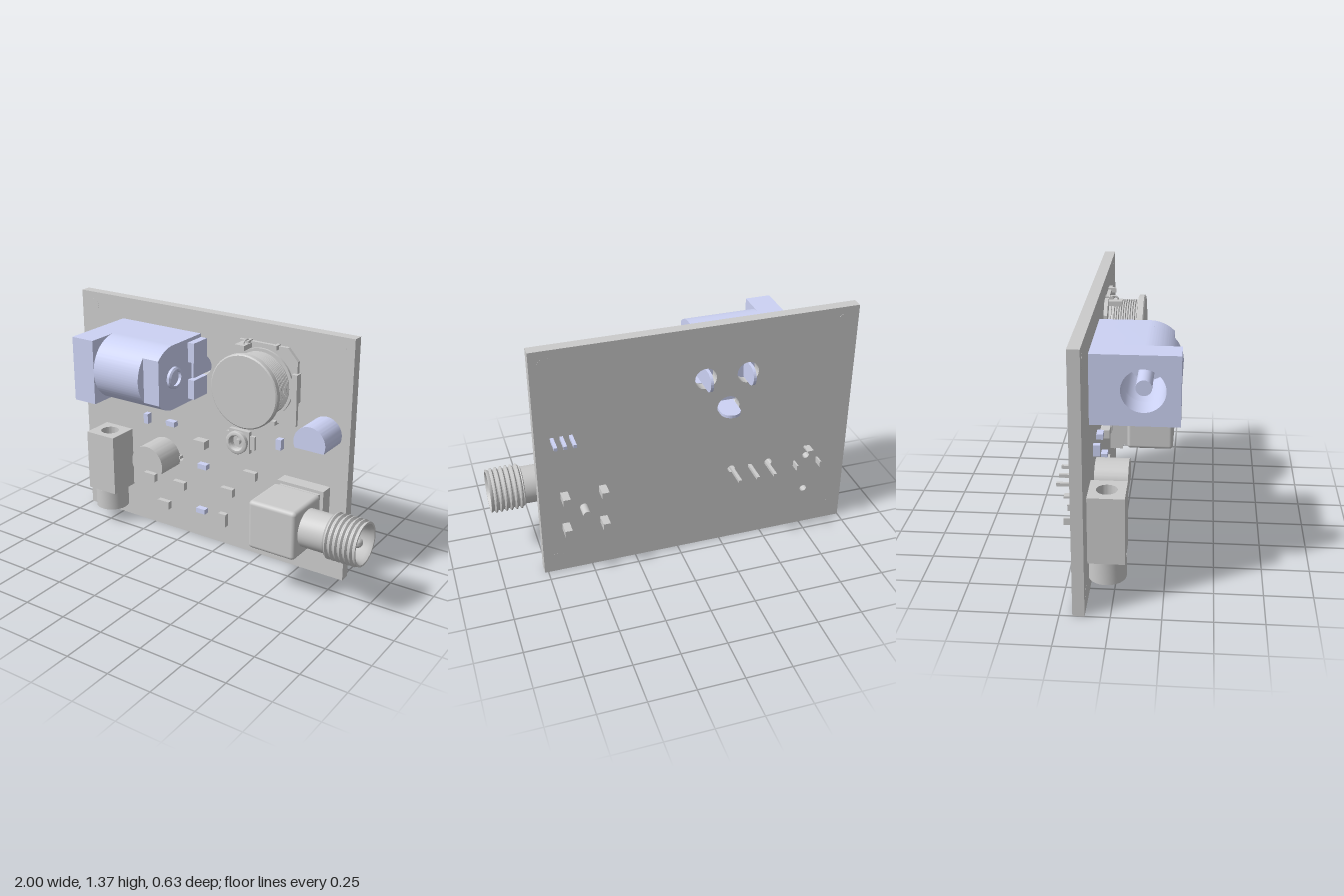
import * as THREE from 'three';
import { toCreasedNormals } from 'three/addons/utils/BufferGeometryUtils.js';
import { RoundedBoxGeometry } from 'three/addons/geometries/RoundedBoxGeometry.js';

const grey = new THREE.MeshStandardMaterial({ color: 0xcccccc });
const blue = new THREE.MeshStandardMaterial({ color: 0xccd2f4 });
const FRONT = -0.125, BACK = -0.185; // board faces
const V = (x, y) => new THREE.Vector2(x, y);

export function createModel() {
  const root = new THREE.Group();
  let parent = root;
  const group = (name) => {
    parent = new THREE.Group();
    parent.name = name;
    root.add(parent);
  };
  const add = (name, geo, mat = grey) => {
    const m = new THREE.Mesh(geo, mat);
    m.name = name;
    parent.add(m);
    return m;
  };
  // box given by its limits
  const box = (name, x0, x1, y0, y1, z0, z1, mat) =>
    add(name, new THREE.BoxGeometry(x1 - x0, y1 - y0, z1 - z0), mat)
      .position.set((x0 + x1) / 2, (y0 + y1) / 2, (z0 + z1) / 2);
  const turn = (geo, axis) => {
    if (axis === 'x') geo.rotateZ(-Math.PI / 2);
    if (axis === 'z') geo.rotateX(Math.PI / 2);
    return geo;
  };
  const lathe = (name, pts, axis, x, y, z, mat) =>
    add(name, toCreasedNormals(turn(new THREE.LatheGeometry(pts.map(p => V(...p)), 40), axis), 0.6), mat)
      .position.set(x, y, z);
  const cyl = (name, r, len, axis, x, y, z, mat) =>
    add(name, turn(new THREE.CylinderGeometry(r, r, len, 28), axis), mat).position.set(x, y, z);
  const extrude = (shape, depth) => toCreasedNormals(
    new THREE.ExtrudeGeometry(shape, { depth, bevelEnabled: false, curveSegments: 24 }), 0.5);
  const hole = (shape, x, y, r) => {
    shape.holes.push(new THREE.Path().absarc(x, y, r, 0, Math.PI * 2, true));
    return shape;
  };
  const rect = (x0, x1, y0, y1) => new THREE.Shape([V(x0, y0), V(x1, y0), V(x1, y1), V(x0, y1)]);

  // Circuit board with solder holes and plugged corner holes
  group('circuitBoard');
  const board = rect(-1, 0.77, 0, 1.37);
  [[-0.15, 1.07, 0.06], [-0.385, 1.07, 0.06], [-0.28, 0.88, 0.062], [-0.53, 0.47, 0.022], [-0.31, 0.47, 0.022],
    [-0.76, 0.24, 0.02], [-0.76, 0.47, 0.02]].forEach(h => hole(board, ...h));
  add('board', extrude(board, FRONT - BACK)).position.z = BACK;
  for (const x of [-0.92, 0.69]) for (const y of [0.08, 1.29])
    cyl('cornerHolePlug', 0.04, 0.061, 'z', x, y, (FRONT + BACK) / 2);

  // Power jack lying along x; its profile uses u = -z
  group('powerJack');
  const cy = 1.065, cu = -0.135, R = 0.18;
  const alongX = (name, shape, x0, x1) => {
    const g = extrude(shape, x1 - x0);
    g.rotateY(Math.PI / 2);
    add(name, g, blue).position.x = x0;
  };
  const barrel = (cut) => {
    const s = new THREE.Shape();
    s.moveTo(0.125, cy - R);
    s.lineTo(0.125, cy + R);
    s.lineTo(cu, cy + R);
    s.absarc(cu, cy, R, Math.PI / 2, cut, false);
    s.absarc(cu, cy, R, Math.PI * 2 - cut, Math.PI * 1.5, false);
    return s;
  };
  alongX('jackFlange', hole(rect(-0.315, 0.125, cy - R, cy + R), cu, cy, 0.11), -0.7, -0.56);
  alongX('jackBarrel', hole(barrel(Math.PI - 0.001), cu, cy, 0.11), -0.56, -0.26);
  alongX('jackRear', barrel(Math.acos(-0.13 / R)), -0.26, -0.16);
  cyl('jackPin', 0.04, 0.4, 'x', -0.46, cy, 0.135, blue);
  lathe('jackRivet', [[0.06, 0], [0.06, 0.015], [0.05, 0.022], [0.042, 0.022], [0.042, 0.004], [0, 0.004]],
    'x', -0.16, cy, 0.135, blue);
  for (const s of [-1, 1])
    box('jackRearBlock', -0.16, -0.12, cy + s * 0.105 - 0.055, cy + s * 0.105 + 0.055, FRONT, 0, blue);
  const tab = new THREE.Shape();
  tab.moveTo(0.055, 0);
  tab.lineTo(0.055, 0.18);
  tab.absarc(0, 0.18, 0.055, 0, Math.PI, false);
  tab.lineTo(-0.055, 0);
  const tabGeo = extrude(tab, 0.016);
  tabGeo.translate(0, 0, -0.008);
  tabGeo.rotateX(-Math.PI / 2); // rounded end points to -z
  for (const [x, y, roll] of [[-0.155, 1.07, 1], [-0.39, 1.07, 1], [-0.28, 0.865, 0]]) {
    const m = add('jackTab', tabGeo, blue);
    m.position.set(x, y, -0.035);
    m.rotation.z = roll * Math.PI / 2;
  }

  // Wound inductor on a square base
  group('inductor');
  const ix = 0.25, iy = 1.05;
  const base = new THREE.Shape([[-0.21, -0.15], [-0.15, -0.21], [0.21, -0.21], [0.21, 0.15], [0.15, 0.215],
    [-0.15, 0.215], [-0.21, 0.15]].map(p => V(...p)));
  add('inductorBase', extrude(base, 0.02)).position.set(ix, iy, FRONT);
  const coil = [[0, 0], [0.19, 0], [0.19, 0.02], [0.165, 0.02]];
  for (let i = 0; i < 11; i++)
    coil.push([0.166, 0.025 + i * 0.0125], [0.176, 0.028 + i * 0.0125], [0.176, 0.034 + i * 0.0125]);
  lathe('inductorCoil', [...coil, [0.165, 0.164]], 'z', ix, iy, -0.112);
  lathe('inductorCap', [[0, 0], [0.195, 0], [0.203, 0.006], [0.203, 0.032], [0.196, 0.038], [0, 0.038]],
    'z', ix, iy, 0.05);
  for (const s of [-1, 1]) {
    const x = ix + s * 0.205;
    box('inductorSideClip', x - 0.016, x + 0.016, iy - 0.075, iy + 0.085, FRONT, -0.083);
    for (const t of [-1, 1])
      box('inductorClip', ix + s * 0.085 - 0.01, ix + s * 0.085 + 0.01, iy + t * 0.21 - 0.012, iy + t * 0.21 + 0.012, FRONT, -0.08);
  }
  box('inductorTerminal', 0.12, 0.18, 1.23, 1.257, -0.105, -0.03);
  const hook = new THREE.CatmullRomCurve3([[-0.055, 1.255], [-0.062, 1.272], [-0.1, 1.272], [-0.11, 1.25]]
    .map(([z, y]) => new THREE.Vector3(0.16, y, z)));
  add('inductorWire', new THREE.TubeGeometry(hook, 16, 0.005, 8));

  // D-shaped transistors with three legs
  const transistor = (name, x, r, yc, flat, zTop, pins, pinY, zPin, mat) => {
    group(name);
    const a = Math.asin((flat - yc) / r);
    const s = new THREE.Shape().absarc(0, 0, r, a, Math.PI - a, false);
    add('transistorBody', extrude(s, zTop - FRONT), mat).position.set(x, yc, FRONT);
    for (const px of pins) box('transistorLeg', px - 0.009, px + 0.009, pinY - 0.009, pinY + 0.009, zPin, FRONT + 0.01, mat);
  };
  transistor('blueTransistor', 0.63, 0.092, 0.838, 0.8, 0.055, [0.58, 0.63, 0.68], 0.86, -0.285, blue);
  transistor('greyTransistor', -0.42, 0.108, 0.463, 0.425, 0.05, [-0.52, -0.42, -0.315], 0.47, -0.318, grey);

  // Audio socket: bored housing with a round nose pointing down
  group('audioSocket');
  const alongY = (name, shape, y0, y1) => {
    const g = extrude(shape, y1 - y0);
    g.rotateX(-Math.PI / 2);
    add(name, g).position.y = y0;
  };
  const sx = -0.758, sz = -0.035;
  alongY('socketHousing', hole(rect(-0.855, -0.66, -0.06, 0.125), sx, -sz, 0.053), 0.21, 0.57);
  alongY('socketNose', hole(new THREE.Shape().absarc(sx, -sz, 0.09 + 0.007, 0, Math.PI * 2, false), sx, -sz, 0.053), 0.09, 0.21);
  box('socketPin', -0.778, -0.742, 0.525, 0.535, -0.245, FRONT);
  for (const x of [-0.83, -0.69]) box('socketPin', x - 0.005, x + 0.005, 0.41, 0.445, -0.24, FRONT);

  // Right-angle threaded coaxial connector
  group('coaxialConnector');
  add('connectorBody', new RoundedBoxGeometry(0.28, 0.275, 0.275, 4, 0.022)).position.set(0.53, 0.397, 0.113);
  box('connectorNeck', 0.41, 0.65, 0.275, 0.52, -0.05, -0.02);
  box('connectorBase', 0.39, 0.67, 0.26, 0.537, FRONT, -0.05);
  const thread = [[0.104, 0], [0.104, 0.14], [0.115, 0.145]];
  for (let i = 0; i < 6; i++) {
    const t = 0.15 + i * 0.028;
    thread.push([0.112, t], [0.125, t + 0.008], [0.125, t + 0.014], [0.112, t + 0.022]);
  }
  thread.push([0.119, 0.323], [0.119, 0.33], [0.108, 0.33], [0.095, 0.31], [0.085, 0.23], [0, 0.23]);
  lathe('threadedBarrel', thread, 'x', 0.67, 0.4, 0.113);
  lathe('centreContact', [[0.03, 0], [0.03, 0.06], [0.022, 0.075], [0.012, 0.083], [0, 0.085]], 'x', 0.9, 0.4, 0.113);
  for (const x of [0.425, 0.635]) for (const y of [0.295, 0.5])
    box('connectorLeg', x - 0.02, x + 0.02, y - 0.02, y + 0.02, -0.262, FRONT);
  cyl('connectorPin', 0.023, 0.14, 'z', 0.53, 0.397, -0.192);

  // Miniature antenna socket
  group('miniSocket');
  box('miniSocketBase', 0.045, 0.175, 0.615, 0.745, FRONT, -0.1);
  box('miniSocketPads', 0.02, 0.205, 0.64, 0.72, FRONT, -0.11);
  lathe('miniSocketRing', [[0.058, 0], [0.058, 0.035], [0.066, 0.042], [0.066, 0.058], [0.06, 0.062], [0.046, 0.062],
    [0.038, 0.05], [0.038, 0.02], [0, 0.02]], 'z', 0.11, 0.68, FRONT);
  cyl('miniSocketPin', 0.016, 0.045, 'z', 0.11, 0.68, -0.1);

  // Small surface-mounted chips: x, y, width, height, thickness
  group('surfaceChips');
  const chips = (name, list, mat) => list.forEach(([x, y, w, h, t]) =>
    box(name, x - w / 2, x + w / 2, y - h / 2, y + h / 2, FRONT, FRONT + t, mat));
  chips('blueChip', [[-0.53, 0.675, 0.03, 0.06, 0.035], [-0.355, 0.68, 0.06, 0.03, 0.035], [-0.135, 0.465, 0.06, 0.03, 0.035],
    [0.365, 0.72, 0.033, 0.06, 0.035], [0.21, 0.28, 0.035, 0.015, 0.012], [-0.145, 0.18, 0.06, 0.03, 0.035]], blue);
  chips('greyChip', [[-0.145, 0.605, 0.075, 0.048, 0.05], [0.18, 0.485, 0.08, 0.048, 0.03], [0.03, 0.345, 0.08, 0.048, 0.03],
    [-0.52, 0.3, 0.08, 0.048, 0.03], [-0.305, 0.3, 0.08, 0.048, 0.03], [-0.42, 0.145, 0.08, 0.048, 0.03],
    [0, 0.16, 0.05, 0.078, 0.03], [0.25, 0.135, 0.08, 0.048, 0.03]], grey);

  return root;
}
